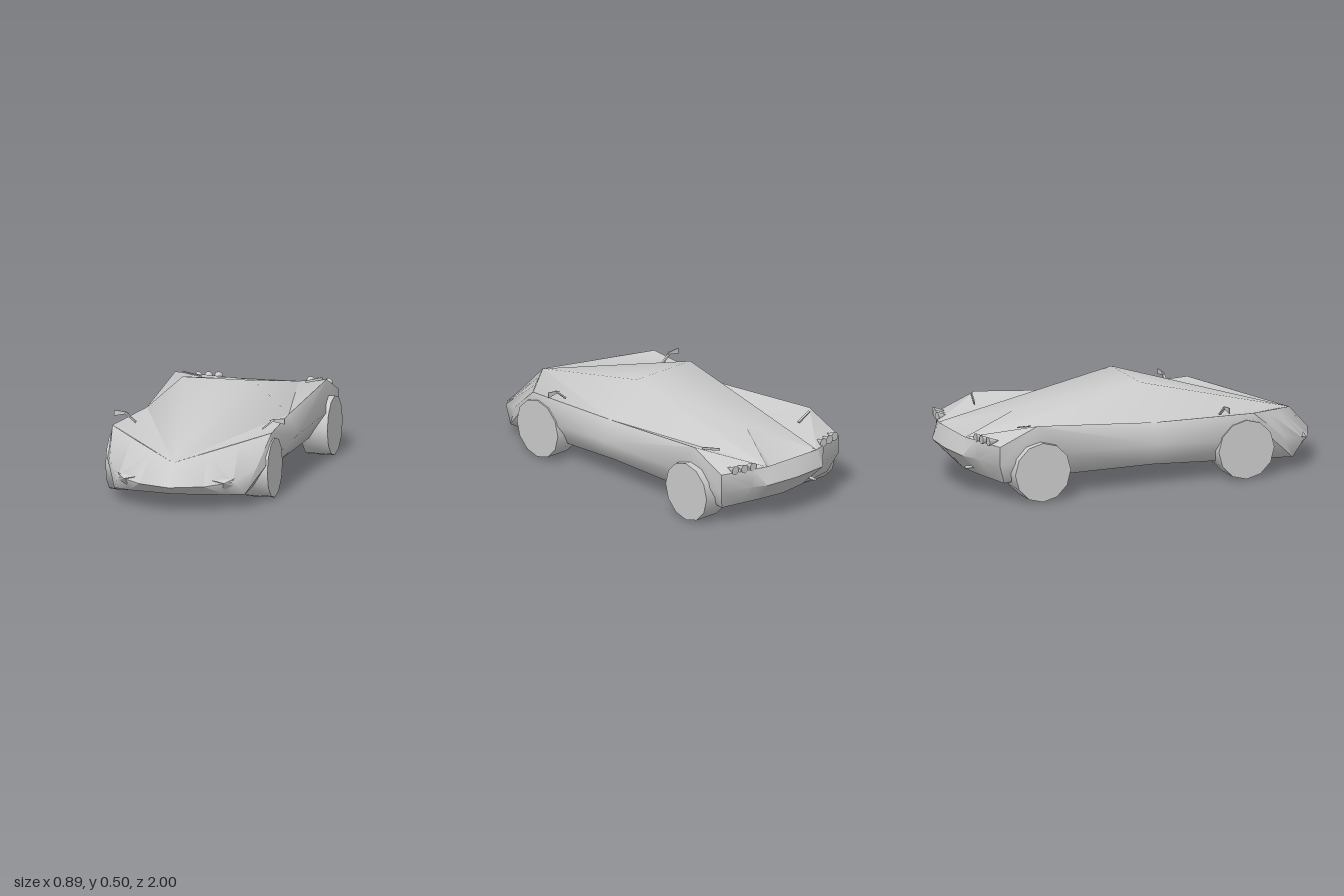
import * as THREE from 'three';
import { toCreasedNormals } from 'three/addons/utils/BufferGeometryUtils.js';

const material = new THREE.MeshStandardMaterial({ color: 0xcccccc, side: THREE.DoubleSide });

function addMesh(parent, geometry, name) {
  const mesh = new THREE.Mesh(geometry, material);
  mesh.name = name;
  parent.add(mesh);
  return mesh;
}

// Triangles of a grid of points; columns run outward, rows run backward
function grid(rows, flips = []) {
  const tris = [];
  for (let i = 0; i < rows.length - 1; i++) {
    for (let j = 0; j < rows[i].length - 1; j++) {
      const a = rows[i][j], b = rows[i][j + 1], c = rows[i + 1][j + 1], d = rows[i + 1][j];
      if (flips[i]) tris.push([a, b, c], [a, c, d]);
      else tris.push([a, b, d], [b, c, d]);
    }
  }
  return tris;
}

// Creased geometry from triangles on the +x half plus their mirror images
function mirrored(tris, crease) {
  const pos = [];
  for (const [a, b, c] of tris) {
    pos.push(...a, ...b, ...c);
    for (const p of [a, c, b]) pos.push(-p[0], p[1], p[2]);
  }
  const geometry = new THREE.BufferGeometry();
  geometry.setAttribute('position', new THREE.Float32BufferAttribute(pos, 3));
  return toCreasedNormals(geometry, crease);
}

// Thin bar between two points
function bar(parent, from, to, height, depth, name) {
  const a = new THREE.Vector3(...from), b = new THREE.Vector3(...to);
  const mesh = addMesh(parent, new THREE.BoxGeometry(a.distanceTo(b), height, depth), name);
  mesh.position.copy(a).add(b).multiplyScalar(0.5);
  mesh.quaternion.setFromUnitVectors(new THREE.Vector3(1, 0, 0), b.sub(a).normalize());
}

function buildBody(car) {
  // Nose: underside edge, front rim, and the V-shaped hood edge
  const under = [[0, 0.075, 0.88], [0.13, 0.073, 0.845], [0.25, 0.07, 0.81], [0.34, 0.07, 0.77]];
  const rim = [[0, 0.13, 1], [0.17, 0.13, 0.93], [0.3, 0.145, 0.85], [0.385, 0.2, 0.69]];
  const hood = [[0, 0.24, 0.9], [0.14, 0.273, 0.773], [0.28, 0.307, 0.647], [0.415, 0.34, 0.52]];
  // Tail: deck edge, rear rim, underside edge
  const deck = [[0, 0.31, -0.96], [0.17, 0.31, -0.96], [0.24, 0.307, -0.933], [0.4, 0.3, -0.87]];
  const tail = [[0, 0.22, -1], [0.19, 0.22, -0.985], [0.24, 0.21, -0.93], [0.4, 0.2, -0.87]];
  const tailUnder = [[0, 0.1, -0.89], [0.15, 0.1, -0.87], [0.25, 0.1, -0.85], [0.36, 0.1, -0.83]];

  // Half sections of the side: canopy ridge, shoulder, waist, sill, floor
  const waistFront = [0.412, 0.19, 0.63];
  const roofCentre = [0, 0.5, 0], wellTip = [0, 0.377, -0.62];
  const front = [hood[0], hood[3], waistFront, under[3], under[0]];
  const middle = [[0.185, 0.5, 0], [0.37, 0.335, 0], [0.415, 0.23, 0], [0.34, 0.11, 0], [0, 0.11, 0]];
  const haunch = [deck[1], [0.395, 0.388, -0.66], [0.425, 0.24, -0.55], [0.34, 0.11, -0.55], [0, 0.11, -0.55]];
  const rear = [deck[1], deck[3], tail[3], tailUnder[3], tailUnder[0]];

  const shell = grid([front, middle, haunch], [true, false]);
  shell.push(...grid([haunch.slice(1), rear.slice(1)], [true]), [haunch[1], deck[3], deck[1]]);
  // Windscreen and rear slope between the canopy ridges
  shell.push([hood[0], middle[0], roofCentre], [roofCentre, middle[0], wellTip], [middle[0], deck[1], wellTip]);
  addMesh(car, mirrored(shell, 1.1), 'bodyShell');
  addMesh(car, mirrored(grid([under, rim, hood]), 1.5), 'nose');
  addMesh(car, mirrored(grid([deck, tail, tailUnder]), 0.8), 'tail');
  // Cheek in front of the wheel
  addMesh(car, mirrored(grid([[hood[3], rim[3], under[3]], [hood[3], waistFront, under[3]]]), 0.5), 'cheeks');

  // Sunken triangular well in the rear deck
  const pit = [0, 0.21, -0.82];
  addMesh(car, mirrored([[wellTip, deck[1], pit], [deck[1], deck[0], pit]], 3), 'engineWell');

  // Faceted headlights
  const outline = [[0.2, 0.157, 0.889], [0.305, 0.162, 0.835], [0.297, 0.125, 0.838], [0.255, 0.104, 0.848]];
  const peak = [0.262, 0.142, 0.881];
  addMesh(car, mirrored(outline.map((p, i) => [outline[(i + 1) % 4], p, peak]), 0.1), 'headlights');
}

function buildWheel(car, side, z, inner, outer, name) {
  const wheel = addMesh(car, toCreasedNormals(
    new THREE.CylinderGeometry(0.153, 0.153, outer - inner, 12), 0.7), name);
  wheel.rotation.z = Math.PI / 2;
  wheel.position.set(side * (inner + outer) / 2, 0.155, z);
}

function buildMirror(car, side) {
  const mirror = new THREE.Group();
  mirror.name = 'wingMirror';
  bar(mirror, [side * 0.33, 0.33, 0.372], [side * 0.39, 0.38, 0.375], 0.008, 0.012, 'mirrorStalk');
  const shape = new THREE.Shape([[0.365, 0.374], [0.445, 0.358], [0.445, 0.388], [0.385, 0.382]]
    .map(([x, y]) => new THREE.Vector2(side * x, y)));
  const head = addMesh(mirror, new THREE.ExtrudeGeometry(shape, { depth: 0.005, bevelEnabled: false }), 'mirrorHead');
  head.position.z = 0.372;
  car.add(mirror);
}

export function createModel() {
  const car = new THREE.Group();
  car.name = 'sportsCar';
  buildBody(car);
  for (const side of [1, -1]) {
    buildWheel(car, side, 0.48, 0.29, 0.422, 'frontWheel');
    buildWheel(car, side, -0.65, 0.305, 0.44, 'rearWheel');
    buildMirror(car, side);
    // Slim blades on the rear haunches
    bar(car, [side * 0.27, 0.358, -0.715], [side * 0.365, 0.384, -0.69], 0.012, 0.006, 'rearBlade');
    // Rear lamp cluster, flat faces to the rear
    for (const [x, z] of [[0.24, -0.905], [0.29, -0.895], [0.34, -0.88]]) {
      const lamp = addMesh(car, toCreasedNormals(new THREE.ConeGeometry(0.023, 0.06, 10), 0.8), 'rearLamp');
      lamp.rotation.x = Math.PI / 2;
      lamp.position.set(side * x, 0.32, z);
    }
  }
  // Single exhaust pipe
  const pipe = addMesh(car, new THREE.CylinderGeometry(0.008, 0.008, 0.06, 8), 'exhaust');
  pipe.rotation.x = Math.PI / 2;
  pipe.position.set(-0.16, 0.15, -0.93);
  return car;
}
